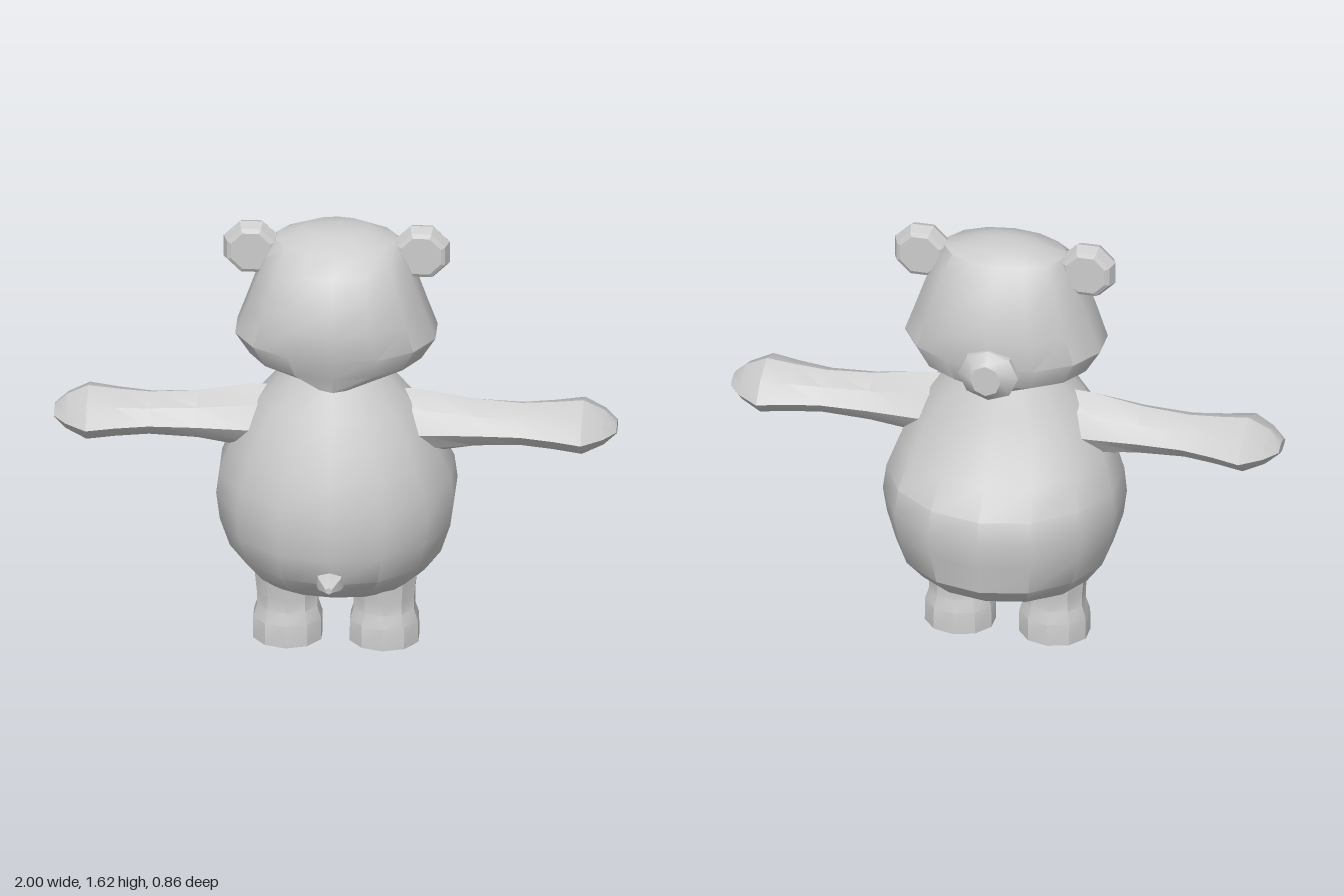
import * as THREE from 'three';
import { toCreasedNormals } from 'three/addons/utils/BufferGeometryUtils.js';

const material = new THREE.MeshStandardMaterial({ color: 0xcccccc });

// Closed skin over elliptical rings stacked along y.
// ring = [height, radius x, centre z, radius z]; power > 1 pulls the section towards a diamond.
function loft(rings, sides, power = 1, crease = 0.6) {
  const pos = [], index = [];
  const shape = (v) => Math.sign(v) * Math.abs(v) ** power;
  for (const [y, rx, cz, rz] of rings) {
    for (let j = 0; j < sides; j++) {
      const a = (j / sides) * Math.PI * 2;
      pos.push(rx * shape(Math.sin(a)), y, cz + rz * shape(Math.cos(a)));
    }
  }
  const last = rings.length - 1, bottom = rings.length * sides, top = bottom + 1;
  pos.push(0, rings[0][0], rings[0][2], 0, rings[last][0], rings[last][2]);
  for (let j = 0; j < sides; j++) {
    const k = (j + 1) % sides;
    for (let i = 0; i < last; i++) {
      const a = i * sides + j, b = i * sides + k;
      index.push(a, b, b + sides, a, b + sides, a + sides);
    }
    index.push(bottom, k, j, top, last * sides + j, last * sides + k);
  }
  const g = new THREE.BufferGeometry();
  g.setAttribute('position', new THREE.Float32BufferAttribute(pos, 3));
  g.setIndex(index);
  return toCreasedNormals(g, crease);
}

// Ring from front and back limits instead of centre and radius
const span = ([y, rx, z0, z1]) => [y, rx, (z0 + z1) / 2, (z1 - z0) / 2];

export function createModel() {
  const model = new THREE.Group();
  model.name = 'bear';
  const add = (name, geometry, x = 0, y = 0, z = 0) => {
    const mesh = new THREE.Mesh(geometry, material);
    mesh.name = name;
    mesh.position.set(x, y, z);
    model.add(mesh);
    return mesh;
  };

  // Pear-shaped body, belly towards -z
  add('body', loft([
    [0.185, 0.1, -0.06, 0.08],
    [0.215, 0.25, -0.13, 0.16],
    [0.285, 0.325, -0.3, 0.28],
    [0.37, 0.385, -0.39, 0.37],
    [0.48, 0.42, -0.41, 0.405],
    [0.58, 0.434, -0.427, 0.407],
    [0.67, 0.423, -0.41, 0.404],
    [0.77, 0.385, -0.325, 0.37],
    [0.87, 0.34, -0.245, 0.33],
    [0.97, 0.275, -0.195, 0.277],
    [1.08, 0.18, -0.138, 0.215],
  ].map(span), 14));

  // Head with wide jowls and a narrow underside
  add('head', loft([
    [1.07, 0.11, -0.17, 0.235],
    [1.13, 0.312, -0.235, 0.25],
    [1.215, 0.365, -0.262, 0.285],
    [1.32, 0.327, -0.257, 0.29],
    [1.42, 0.292, -0.238, 0.27],
    [1.51, 0.255, -0.19, 0.215],
    [1.57, 0.22, -0.145, 0.14],
    [1.605, 0.12, -0.095, 0.065],
    [1.613, 0.05, -0.04, 0.03],
  ].map(span), 14));

  // Snout pointing to -z
  add('snout', loft([
    [0.15, 0.11, 1.195, 0.105],
    [0.265, 0.11, 1.195, 0.1],
    [0.306, 0.055, 1.195, 0.06],
  ], 8).rotateX(-Math.PI / 2));

  // Small pointed tail at the back
  add('tail', loft([
    [0.3, 0.07, 0.39, 0.07],
    [0.39, 0.045, 0.385, 0.045],
    [0.428, 0.013, -0.378 + 0.756, 0.013],
  ].map(([z, rx, y, ry]) => [z, rx, -y, ry]), 6).rotateX(Math.PI / 2));

  // Arms: tapered wrists and broad, flattened hands
  const arm = loft([
    [0.2, 0.13, 0.037, 0.115],
    [0.31, 0.125, 0.037, 0.12],
    [0.49, 0.094, 0.037, 0.112],
    [0.66, 0.082, 0.037, 0.113],
    [0.78, 0.09, 0.037, 0.137],
    [0.88, 0.1, 0.037, 0.166],
    [0.955, 0.064, 0.037, 0.11],
    [1.0, 0.02, 0.037, 0.05],
  ], 8, 1.4, 0.45);

  // Legs: narrow ankles over blocky feet
  const leg = loft([
    [0, 0.128, 0.031, 0.117],
    [0.085, 0.127, 0.031, 0.116],
    [0.13, 0.113, 0.031, 0.1],
    [0.18, 0.113, 0.031, 0.1],
    [0.3, 0.125, 0.031, 0.115],
  ], 10);

  // Round ears with a bevelled rim
  const ear = loft([
    [-0.044, 0.076, 0, 0.076],
    [-0.035, 0.092, 0, 0.092],
    [0, 0.107, 0, 0.107],
    [0.035, 0.092, 0, 0.092],
    [0.044, 0.076, 0, 0.076],
  ], 8, 1, 0.3).rotateX(Math.PI / 2).rotateZ(Math.PI / 8);

  for (const [side, s] of [['left', 1], ['right', -1]]) {
    add(side + 'Arm', arm, 0, 0.87, 0).rotation.z = -s * Math.PI / 2;
    add(side + 'Leg', leg, s * 0.172, 0, 0);
    add(side + 'Ear', ear, s * 0.303, 1.525, -0.003);
  }
  return model;
}
